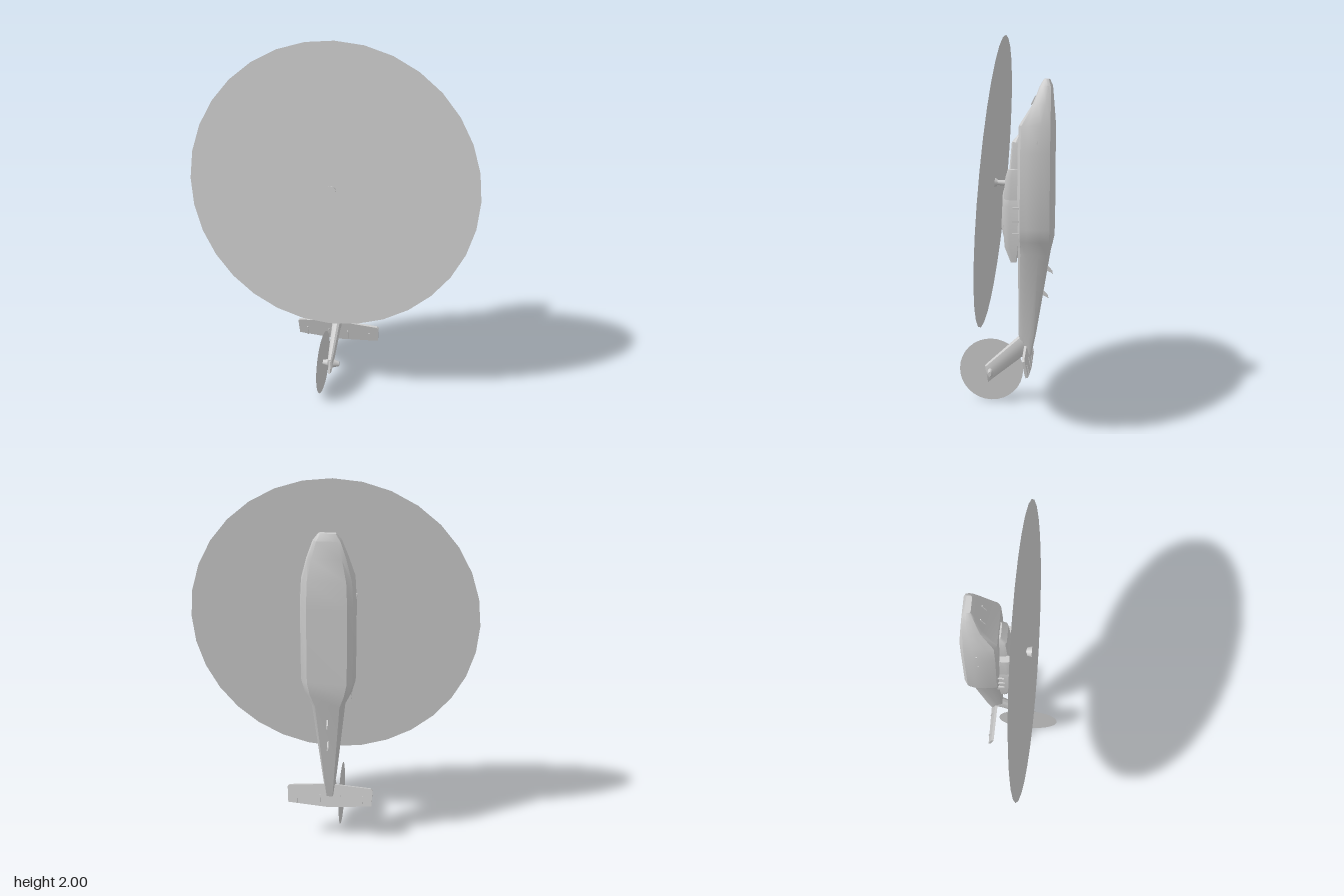
import * as THREE from 'three';
import { toCreasedNormals } from 'three/addons/utils/BufferGeometryUtils.js';

const material = new THREE.MeshStandardMaterial({ color: 0xcccccc });
const thinMaterial = new THREE.MeshStandardMaterial({ color: 0xcccccc, side: THREE.DoubleSide });

// Cross-section halves: [share of half width, share of the way from low edge to high edge]
const BODY = [[0.72, 0], [0.92, 0.1], [1, 0.35], [0.97, 0.72], [0.9, 0.92], [0.76, 1]];
const COWL = [[1, 0], [1, 0.6], [0.92, 0.88], [0.72, 1]];
const FOIL = [[0.2, 0], [0.7, 0.3], [1, 0.65], [0.75, 0.92], [0.3, 1]];

// Skin over mirrored cross-sections; row = [low y, low z, high y, high z, half width]
function loft(rows, half, crease = 0.5) {
  const ring = [...half, ...half.map(([x, f]) => [-x, f]).reverse()];
  const n = ring.length, pos = [], index = [];
  for (const [ya, za, yb, zb, w] of rows)
    for (const [x, f] of ring) pos.push(x * w, ya + (yb - ya) * f, za + (zb - za) * f);
  for (let i = 0; i < rows.length - 1; i++)
    for (let j = 0; j < n; j++) {
      const a = i * n + j, b = i * n + (j + 1) % n;
      index.push(a, b, a + n, b, b + n, a + n);
    }
  const last = (rows.length - 1) * n;
  for (let j = 1; j < n - 1; j++) {
    index.push(0, j + 1, j);
    index.push(last, last + j, last + j + 1);
  }
  const g = new THREE.BufferGeometry();
  g.setAttribute('position', new THREE.Float32BufferAttribute(pos, 3));
  g.setIndex(index);
  return toCreasedNormals(g, crease);
}

// Level section at height y
const at = (y, low, high, w) => [y, low, y, high, w];

export function createModel() {
  const model = new THREE.Group();
  model.name = 'helicopter';
  const add = (name, geometry, x = 0, y = 0, z = 0, mat = material) => {
    const m = new THREE.Mesh(geometry, mat);
    m.name = name;
    m.position.set(x, y, z);
    model.add(m);
    return m;
  };

  // Cabin and tail boom, nose upward
  add('fuselage', loft([
    at(1.775, -0.228, -0.2, 0.045),
    at(1.74, -0.243, -0.18, 0.072),
    at(1.65, -0.25, -0.146, 0.105),
    at(1.54, -0.258, -0.076, 0.135),
    at(1.4, -0.258, -0.07, 0.143),
    at(1.0, -0.258, -0.068, 0.142),
    at(0.93, -0.255, -0.068, 0.122),
    at(0.86, -0.238, -0.07, 0.088),
    at(0.4, -0.163, -0.072, 0.036),
    [0.28, -0.138, 0.37, -0.08, 0.022],
  ], BODY));

  // Swept tail fin
  add('tailFin', loft([
    [0.275, -0.12, 0.4, -0.085, 0.028],
    [0.272, -0.087, 0.384, -0.066, 0.027],
    [0.15, 0.065, 0.25, 0.08, 0.019],
    [0.122, 0.098, 0.218, 0.114, 0.015],
  ], FOIL));

  // Roof pylon below the rotor
  add('roofPylon', loft([
    at(1.485, -0.085, -0.065, 0.045),
    at(1.45, -0.09, -0.035, 0.062),
    at(1.3, -0.09, -0.022, 0.07),
    at(1.18, -0.09, 0.012, 0.068),
    at(1.0, -0.09, 0.02, 0.062),
    at(0.91, -0.09, 0, 0.05),
    at(0.83, -0.09, -0.05, 0.035),
  ], COWL));

  for (const s of [-1, 1]) {
    // Engine with its exhaust box and three slats
    add('engineNacelle', loft([
      at(1.31, -0.085, -0.018, 0.02),
      at(1.27, -0.085, -0.006, 0.026),
      at(1.16, -0.085, 0.002, 0.028),
      at(0.95, -0.085, 0.002, 0.028),
      at(0.9, -0.085, -0.003, 0.027),
    ], COWL), s * 0.08);
    add('exhaustBox', loft([
      at(1.16, -0.075, 0, 0.018),
      at(1.12, -0.075, 0.006, 0.026),
      at(0.9, -0.07, -0.004, 0.026),
      at(0.82, -0.065, -0.035, 0.018),
    ], COWL), s * 0.088);
    for (const y of [1.11, 1.04, 0.975])
      add('exhaustSlat', new THREE.BoxGeometry(0.012, 0.01, 0.035), s * 0.116, y, -0.062);

    // Door handles
    for (const [y, z] of [[1.455, -0.175], [1.33, -0.17]])
      add('doorHandle', new THREE.BoxGeometry(0.008, 0.014, 0.007), s * 0.141, y, z);

    // Windscreen wiper
    add('wiper', new THREE.BoxGeometry(0.006, 0.05, 0.006), s * 0.035, 1.665, -0.146).rotation.x = -0.45;

    // Tailplane half with two hinge ribs
    const plane = new THREE.Shape();
    plane.moveTo(0, 0.065);
    plane.lineTo(s * 0.225, 0.049);
    plane.lineTo(s * 0.235, 0.04);
    plane.lineTo(s * 0.23, -0.05);
    plane.lineTo(0, -0.068);
    const half = add('tailplane', new THREE.ExtrudeGeometry(plane, { depth: 0.014, bevelEnabled: false }), 0, 0.28, -0.128);
    half.rotation.x = 0.2;
    for (const x of [0.055, 0.18])
      add('tailplaneRib', new THREE.BoxGeometry(0.006, 0.055, 0.026), s * x, 0.255, -0.124).rotation.x = 0.2;
  }

  // Blade aerials under the boom
  const aerial = new THREE.Shape();
  aerial.moveTo(0, 0.02);
  aerial.lineTo(0.03, -0.012);
  aerial.lineTo(0.034, -0.03);
  aerial.lineTo(0.022, -0.022);
  aerial.lineTo(0, -0.012);
  for (const [y, z] of [[0.77, -0.219], [0.635, -0.196]])
    add('bellyAerial', new THREE.ExtrudeGeometry(aerial, { depth: 0.008, bevelEnabled: false }), -0.004, y, z).rotation.y = Math.PI / 2;

  // Main rotor: mast, collar, cap and spinning disc
  const mast = (name, top, bottom, length, z) => {
    add(name, new THREE.CylinderGeometry(top, bottom, length, 16), 0, 1.23, z).rotation.x = Math.PI / 2 - 0.078;
  };
  mast('rotorMast', 0.012, 0.016, 0.08, 0.035);
  mast('rotorCollar', 0.024, 0.018, 0.014, 0.052);
  mast('rotorCap', 0.028, 0.022, 0.026, 0.077);
  add('mainRotorDisc', new THREE.CircleGeometry(0.772, 32), 0, 1.23, 0.06, thinMaterial).rotation.x = -0.078;

  // Tail rotor: gearbox, hub and spinning disc
  const gearbox = add('tailGearbox', new THREE.CylinderGeometry(0.014, 0.032, 0.05, 12), 0.022, 0.18, 0.085);
  gearbox.rotation.z = -Math.PI / 2;
  gearbox.scale.z = 0.65;
  add('tailRotorHub', new THREE.CylinderGeometry(0.012, 0.022, 0.05, 12), -0.03, 0.18, 0.085).rotation.z = Math.PI / 2;
  add('tailRotorDisc', new THREE.CircleGeometry(0.176, 32), -0.045, 0.18, 0.085, thinMaterial).rotation.y = -Math.PI / 2;
  add('finTipStrut', new THREE.BoxGeometry(0.012, 0.075, 0.008), 0, 0.178, 0.125).rotation.x = -0.35;

  return model;
}
